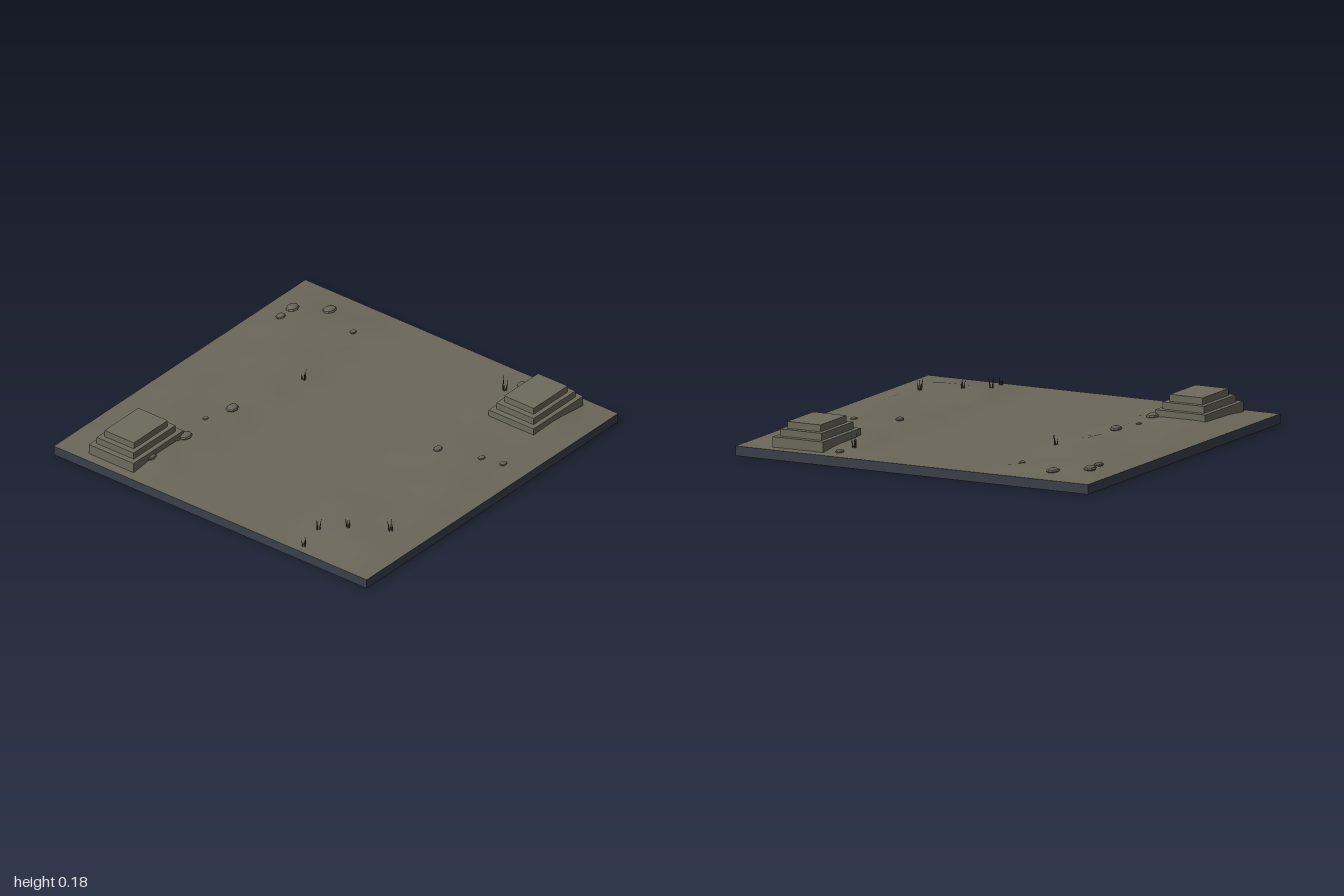
import * as THREE from 'three';

const material = (name, color, extra = {}) => {
  const m = new THREE.MeshStandardMaterial({ color, ...extra });
  m.name = name;
  return m;
};

const BASE = 0.05;
const smooth = THREE.MathUtils.smoothstep;

// Height of the ground: a flat road along x with a low bank on either side
function groundHeight(x, z) {
  const wobble = 0.02 * Math.sin(x * 9 + z * 2) + 0.015 * Math.sin(x * 23 + 1);
  const bank = smooth(Math.abs(z) + wobble, 0.34, 0.53);
  const edge = smooth(1 - Math.abs(z), 0, 0.2) * smooth(1 - Math.abs(x), 0, 0.28);
  const bumps = 0.022 + 0.003 * Math.sin(x * 7 + z * 11) + 0.002 * Math.sin(x * 17 - z * 13);
  return BASE + bank * edge * bumps;
}

export function createModel() {
  const group = new THREE.Group();
  const earth = material('earth', 0x6b6759);
  const slate = material('slate', 0x39404b);
  const masonry = material('masonry', 0x6e6b5c);
  const rock = material('rock', 0x69665a, { flatShading: true });
  const grass = material('dry grass', 0x45422f, { side: THREE.DoubleSide });

  const add = (parent, name, geometry, mat, x = 0, y = 0, z = 0) => {
    const mesh = new THREE.Mesh(geometry, mat);
    mesh.name = name;
    mesh.position.set(x, y, z);
    parent.add(mesh);
    return mesh;
  };

  // Ground slab with a sculpted top and slate sides
  const slab = new THREE.BoxGeometry(2, BASE, 2, 28, 1, 28);
  slab.translate(0, BASE / 2, 0);
  const p = slab.attributes.position;
  for (let i = 0; i < p.count; i++) {
    if (p.getY(i) > BASE / 2) p.setY(i, groundHeight(p.getX(i), p.getZ(i)));
  }
  slab.computeVertexNormals();
  add(group, 'ground', slab, [slate, slate, earth, earth, slate, slate]);

  // Two stepped plinths in opposite corners
  const steps = [
    [0.396, 0.286, 0.045, 0.106],
    [0.332, 0.236, 0.106, 0.142],
    [0.27, 0.188, 0.142, 0.177],
  ];
  for (const side of [-1, 1]) {
    const plinth = new THREE.Group();
    plinth.name = side < 0 ? 'backPlinth' : 'frontPlinth';
    plinth.position.set(side * 0.75, 0, side * 0.675);
    steps.forEach(([w, d, low, high], i) =>
      add(plinth, `step${i + 1}`, new THREE.BoxGeometry(w, high - low, d), masonry, 0, (low + high) / 2, 0));
    group.add(plinth);
  }

  // Flattened stones: x, z, radius
  const stones = [
    [0.63, -0.86, 0.03], [0.73, -0.865, 0.041], [0.838, -0.715, 0.041], [0.747, -0.49, 0.021],
    [-0.545, -0.525, 0.042], [-0.35, -0.552, 0.018], [-0.193, -0.508, 0.039], [-0.8, -0.54, 0.034],
    [-0.59, -0.545, 0.03], [0.145, 0.535, 0.028], [0.222, 0.753, 0.022], [0.256, 0.864, 0.023],
    [0.9, 0.463, 0.029],
  ];
  stones.forEach(([x, z, r], i) => {
    const stone = add(group, 'stone', new THREE.SphereGeometry(r, 8, 6), rock, x, groundHeight(x, z) + r * 0.08, z);
    stone.scale.set(1, 0.4, 0.75);
    stone.rotation.y = 0.15 * Math.sin(i * 2.3);
  });

  // Grass tufts: x, z, tip height
  const tufts = [
    [-0.95, 0.56, 0.105], [-0.8, 0.53, 0.14], [-0.7, 0.64, 0.13],
    [-0.585, 0.82, 0.14], [0.8, 0.435, 0.143], [0.255, -0.41, 0.117],
  ];
  tufts.forEach(([x, z, tip], i) => {
    const tuft = new THREE.Group();
    tuft.name = 'grassTuft';
    const y = groundHeight(x, z) - 0.004;
    tuft.position.set(x, y, z);
    for (let k = 0; k < 4; k++) {
      const h = (tip - y) * (1 - 0.14 * k);
      const blade = new THREE.ConeGeometry(0.0045, h, 3);
      blade.translate(0, h / 2, 0);
      const angle = i * 1.3 + k * 1.9;
      const mesh = add(tuft, 'blade', blade, grass, 0.007 * Math.cos(angle), 0, 0.007 * Math.sin(angle));
      mesh.rotation.set(0.14 * Math.sin(angle), 0, -0.14 * Math.cos(angle));
    }
    group.add(tuft);
  });

  return group;
}
